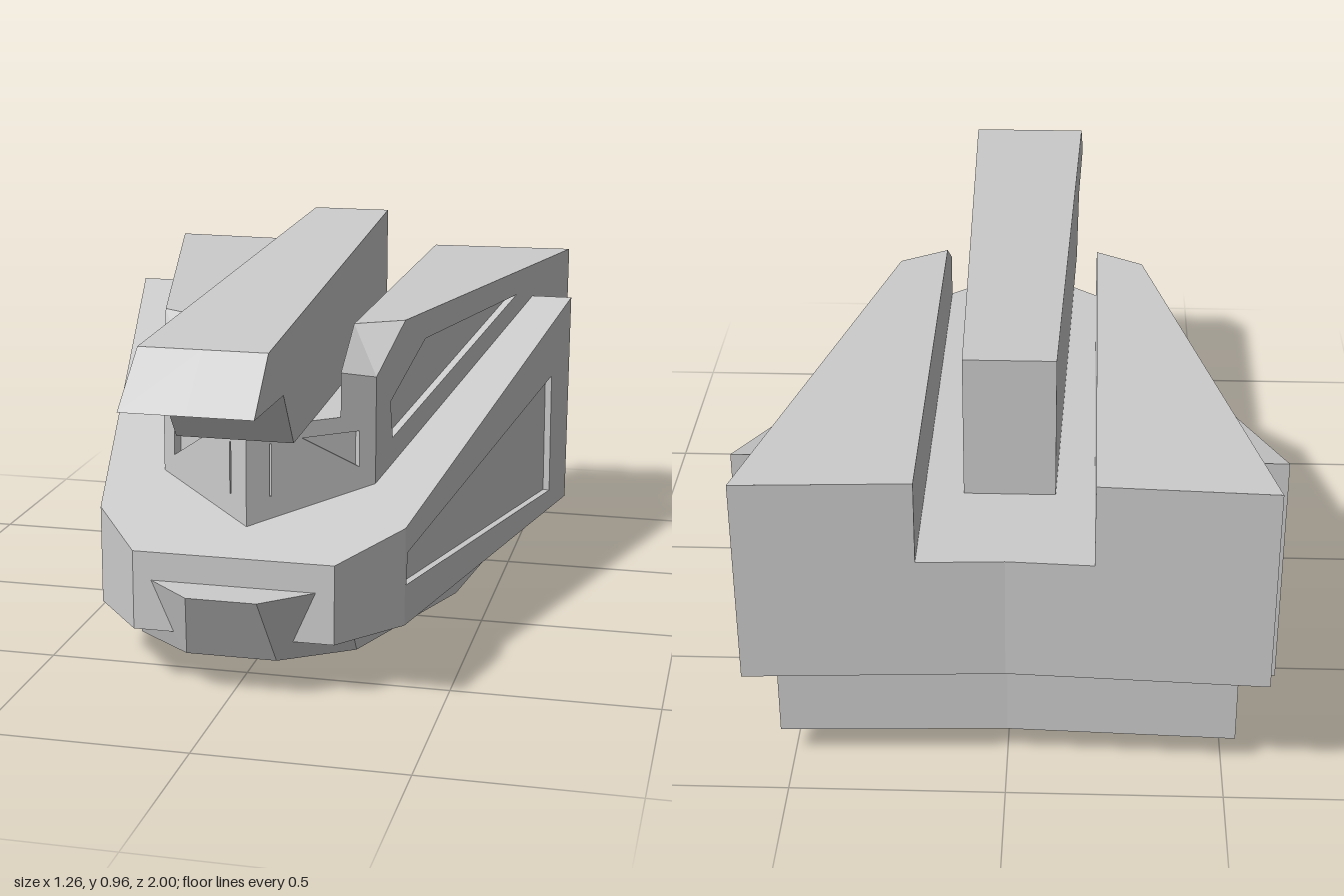
import * as THREE from 'three';

const V = (x, y, z) => new THREE.Vector3(x, y, z);

// Collects flat polygons, each mirrored across x = 0
class Shell {
  constructor() { this.positions = []; }

  // One planar polygon facing roughly towards `out`, with optional holes
  polygon(out, pts, holes = []) {
    const n = V(0, 0, 0);
    pts.forEach((p, i) => n.add(p.clone().cross(pts[(i + 1) % pts.length])));
    const a = [Math.abs(n.x), Math.abs(n.y), Math.abs(n.z)];
    const k = a.indexOf(Math.max(...a));
    const flat = p => k === 0 ? new THREE.Vector2(p.z, p.y)
      : k === 1 ? new THREE.Vector2(p.x, p.z) : new THREE.Vector2(p.x, p.y);
    const orient = (loop, ccw) =>
      (THREE.ShapeUtils.area(loop.map(flat)) > 0) === ccw ? loop : [...loop].reverse();
    const outer = orient(pts, true);
    const inner = holes.map(h => orient(h, false));
    const all = [...outer, ...inner.flat()];
    for (const [i, j, l] of THREE.ShapeUtils.triangulateShape(outer.map(flat), inner.map(h => h.map(flat)))) {
      const [p, q, r] = [all[i], all[j], all[l]];
      const normal = q.clone().sub(p).cross(r.clone().sub(p));
      const tri = normal.dot(out) >= 0 ? [p, q, r] : [p, r, q];
      tri.forEach(v => this.positions.push(v.x, v.y, v.z));
    }
  }

  // Polygon plus its mirror image
  face(out, pts, holes = []) {
    const flip = p => V(-p.x, p.y, p.z);
    this.polygon(out, pts, holes);
    this.polygon(flip(out), pts.map(flip), holes.map(h => h.map(flip)));
  }

  // Wall with sunken panels
  recessedFace(out, pts, holes, depth) {
    this.face(out, pts, holes);
    const inward = out.clone().normalize().multiplyScalar(-depth);
    for (const hole of holes) {
      const floor = hole.map(p => p.clone().add(inward));
      const centre = hole.reduce((s, p) => s.add(p), V(0, 0, 0)).divideScalar(hole.length);
      this.face(out, floor);
      hole.forEach((p, i) => {
        const j = (i + 1) % hole.length;
        const mid = p.clone().add(hole[j]).multiplyScalar(0.5);
        this.face(centre.clone().sub(mid), [p, hole[j], floor[j], floor[i]]);
      });
    }
  }

  mesh(name) {
    const g = new THREE.BufferGeometry();
    g.setAttribute('position', new THREE.Float32BufferAttribute(this.positions, 3));
    g.computeVertexNormals();
    const m = new THREE.Mesh(g, new THREE.MeshStandardMaterial({ color: 0xcccccc, flatShading: true }));
    m.name = name;
    return m;
  }
}

const UP = V(0, 1, 0), DOWN = V(0, -1, 0), BACK = V(0, 0, -1), FRONT = V(0, 0, 1);

// Wedge-shaped upper hull with a central channel and a pointed nose
function upperHull() {
  const s = new Shell();
  const side = ([z, y]) => V(0.34 - 0.25 * z, y, z);
  const nose = ([x, y]) => V(x, y, 0.5 - 0.815 * x);
  const plan = y => ([x, z]) => V(x, y, z);

  s.recessedFace(V(1, 0, 0.25),
    [[-1, 0.32], [-1, 0.82], [0.12, 0.82], [0.28, 0.71], [0.28, 0.32]].map(side),
    [[[0.2, 0.63], [0, 0.75], [-0.6, 0.755], [0.185, 0.535]].map(side)], 0.02);
  s.recessedFace(V(0.815, 0, 1),
    [[0, 0.32], [0.27, 0.32], [0.27, 0.71], [0.195, 0.73], [0.195, 0.62], [0, 0.62]].map(nose),
    [[[0.115, 0.58], [0.235, 0.58], [0.235, 0.49]].map(nose),
      [[0.048, 0.445], [0.052, 0.445], [0.052, 0.575], [0.048, 0.575]].map(nose)], 0.02);
  s.face(V(0, 1, 0.7), [V(0.31, 0.82, 0.12), V(0.195, 0.82, 0.19), nose([0.195, 0.73]), V(0.27, 0.71, 0.28)]);
  s.face(UP, [[0.195, -0.98], [0.59, -1], [0.31, 0.12], [0.195, 0.19]].map(plan(0.82)));
  s.face(UP, [[0, -0.97], [0.195, -0.98], [0.195, 0.341], [0, 0.5]].map(plan(0.62)));
  s.face(DOWN, [[0, -0.97], [0.59, -1], [0.27, 0.28], [0, 0.5]].map(plan(0.32)));
  s.face(V(-1, 0, 0), [[-0.98, 0.62], [-0.98, 0.82], [0.19, 0.82], [0.341, 0.73], [0.341, 0.62]]
    .map(([z, y]) => V(0.195, y, z)));
  s.face(BACK, [[0, 0.32], [0.59, 0.32], [0.59, 0.82], [0.195, 0.82], [0.195, 0.62], [0, 0.62]]
    .map(([x, y]) => V(x, y, -0.97 - 0.051 * x)));
  return s.mesh('upperHull');
}

// Sloping armour collar wrapped around the front and sides
function collar() {
  const s = new Shell();
  const outer = [[0, 0.63], [0.245, 0.63], [0.38, 0.46], [0.63, -0.72]];
  const inner = [[0.47, -0.72], [0.24, 0.2], [0, 0.4]];
  const low = ([x, z]) => V(x, 0.145, z);
  const high = ([x, z]) => V(x, 0.34 + 0.289 * (0.63 - z), z);
  const loop = [...outer, ...inner];
  s.face(UP, loop.map(high));
  s.face(DOWN, loop.map(low));
  const wall = (out, a, b) => s.face(out, [low(a), low(b), high(b), high(a)]);
  wall(FRONT, outer[0], outer[1]);
  wall(V(1, 0, 0.8), outer[1], outer[2]);
  wall(BACK, outer[3], inner[0]);
  wall(V(-1, 0, -0.2), inner[0], inner[1]);
  wall(V(-0.2, 0, -0.24), inner[1], inner[2]);
  const onSide = ([z, y]) => V(0.38 + (0.46 - z) * 0.25 / 1.18, y, z);
  s.recessedFace(V(1, 0, 0.212),
    [low(outer[2]), low(outer[3]), high(outer[3]), high(outer[2])],
    [[[0.445, 0.325], [-0.57, 0.535], [-0.58, 0.2], [0.452, 0.245]].map(onSide)], 0.018);
  return s.mesh('armourCollar');
}

// Keel: vertical sides, a raked faceted prow and a shallow V bottom
function lowerHull() {
  const s = new Shell();
  const top = [[0, -0.86], [0.53, -0.88], [0.4, -0.2], [0.255, 0.58], [0.085, 0.735], [0, 0.735]]
    .map(([x, z]) => V(x, 0.27, z));
  const bottom = [[0, 0.08, -0.86], [0.53, 0.08, -0.88], [0.4, 0.005, -0.2],
    [0.27, 0.085, 0.49], [0.11, 0.1, 0.645], [0, 0.1, 0.645]].map(p => V(...p));
  s.face(UP, top);
  const outs = [BACK, V(1, 0, 0.2), V(1, 0, 0.2), V(1, 0, 1), FRONT];
  outs.forEach((out, i) => {
    s.face(out, [top[i], top[i + 1], bottom[i + 1]]);
    s.face(out, [top[i], bottom[i + 1], bottom[i]]);
  });
  const ridge = V(0, 0.005, -0.2);
  s.face(DOWN, [bottom[0], bottom[1], bottom[2]]);
  s.face(DOWN, [bottom[0], bottom[2], ridge]);
  s.face(DOWN, [ridge, bottom[2], bottom[3]]);
  s.face(DOWN, [ridge, bottom[3], bottom[4]]);
  s.face(DOWN, [ridge, bottom[4], bottom[5]]);
  return s.mesh('lowerHull');
}

// Long tapering beam with a beaked front end
function topBeam() {
  const s = new Shell();
  const profile = [[1, 0.775], [0.86, 0.89], [-0.69, 0.965], [-0.69, 0.62], [0.6, 0.62], [0.71, 0.76]];
  const edge = profile.map(([z, y]) => V(0.152 - 0.0278 * (1 - z), y, z));
  const centre = profile.map(([z, y]) => V(0, y, z));
  s.face(V(1, 0, 0), edge);
  const outs = [V(0, 1, 1), UP, BACK, DOWN, V(0, -1, 1), DOWN];
  outs.forEach((out, i) => {
    const j = (i + 1) % 6;
    s.face(out, [edge[i], edge[j], centre[j], centre[i]]);
  });
  return s.mesh('topBeam');
}

export function createModel() {
  const model = new THREE.Group();
  model.name = 'armouredCraft';
  model.add(upperHull(), collar(), lowerHull(), topBeam());
  return model;
}
